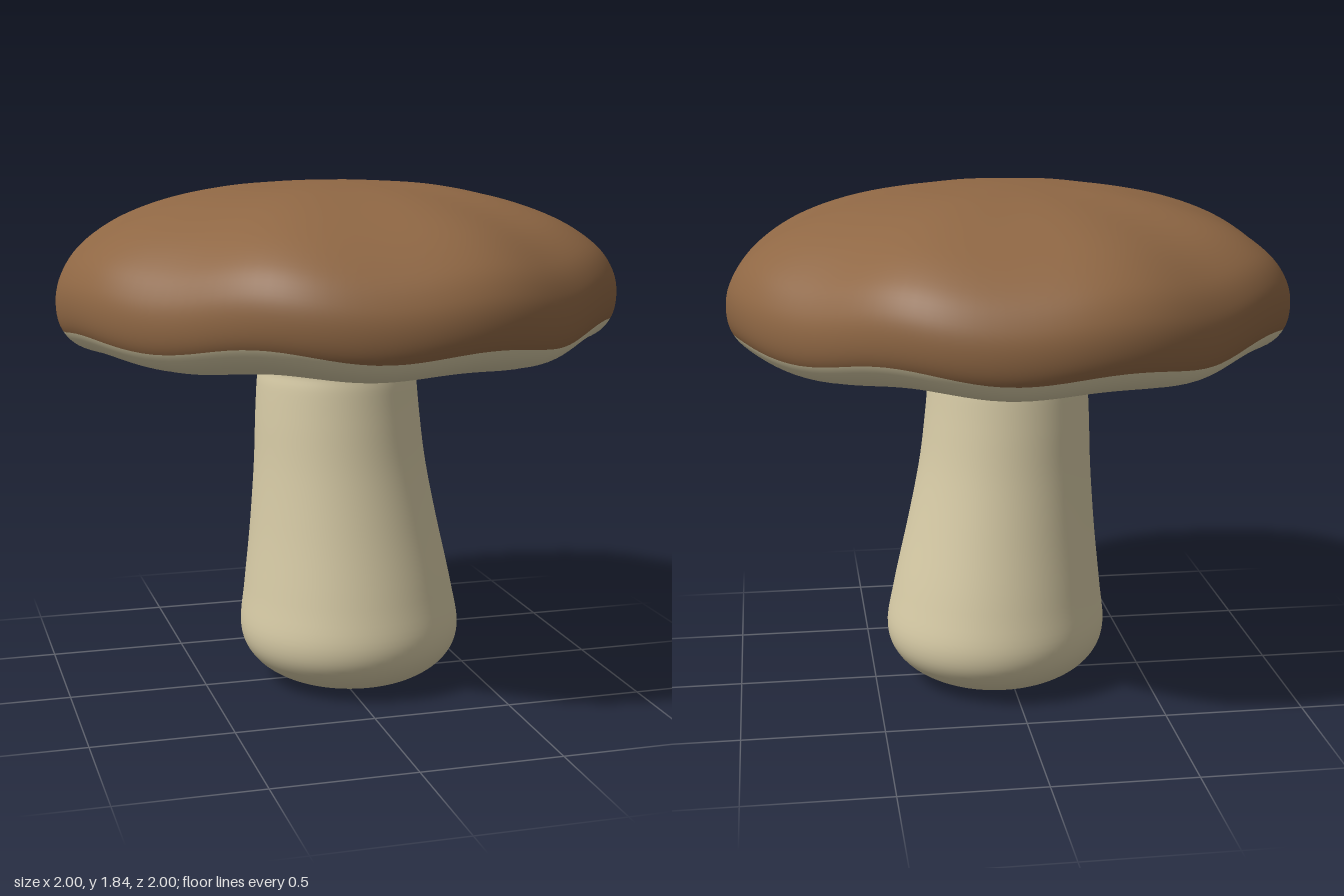
import * as THREE from 'three';

const brown = new THREE.MeshStandardMaterial({ color: 0x8f6744 });
brown.name = 'capBrown';
const cream = new THREE.MeshStandardMaterial({ color: 0xd7cba6 });
cream.name = 'fleshCream';

const SEG = 128, STEPS = 6;

// Sweeps a smoothed [radius, height] profile around y; place(r, y, angle) shapes each point.
// Faces from control point `split` onwards use the second material.
function sweep(profile, split, place) {
  const curve = new THREE.SplineCurve(profile.map(([r, y]) => new THREE.Vector2(r, y)));
  const pts = curve.getPoints((profile.length - 1) * STEPS);
  const pos = [], idx = [];
  for (const p of pts) {
    for (let i = 0; i < SEG; i++) {
      pos.push(...place(Math.max(p.x, 0.002), p.y, (i / SEG) * Math.PI * 2));
    }
  }
  for (let j = 0; j < pts.length - 1; j++) {
    for (let i = 0; i < SEG; i++) {
      const a = j * SEG + i, b = j * SEG + ((i + 1) % SEG);
      idx.push(a, a + SEG, b, b, a + SEG, b + SEG);
    }
  }
  const geo = new THREE.BufferGeometry();
  geo.setAttribute('position', new THREE.Float32BufferAttribute(pos, 3));
  geo.setIndex(idx);
  const cut = split * STEPS * SEG * 6;
  geo.addGroup(0, cut, 0);
  geo.addGroup(cut, idx.length - cut, 1);
  geo.computeVertexNormals();
  return geo;
}

// Gently lobed outline, wavy rim and faint rings under the cap
function placeCap(r, y, a) {
  const edge = THREE.MathUtils.smoothstep(r, 0.2, 1);
  const lobe = 1 + edge * (-0.011 + 0.02 * Math.cos(4 * a) - 0.009 * Math.cos(8 * a));
  const t = a - Math.PI / 6;
  const wave = r ** 3 * (0.018 * Math.cos(8 * t) + 0.008 * Math.cos(4 * t));
  const rings = y < 1.27 && r > 0.35 ? 0.0015 * Math.sin(r * 60) : 0;
  return [r * lobe * Math.cos(a), y + wave + rings, r * lobe * Math.sin(a)];
}

// Stem leans slightly to +x at its foot
function placeStem(r, y, a) {
  const lean = 1 - THREE.MathUtils.smoothstep(y, 0.1, 1.15);
  return [r * Math.cos(a) + 0.048 * lean, y, r * Math.sin(a) + 0.005 * lean];
}

export function createModel() {
  const group = new THREE.Group();
  group.name = 'mushroom';

  // Cap: cream underside up to the rim, brown above
  const capProfile = [
    [0.2, 1.225], [0.33, 1.228], [0.47, 1.233], [0.62, 1.237], [0.78, 1.25], [0.915, 1.285], [0.98, 1.345],
    [1, 1.43], [0.983, 1.52], [0.92, 1.61], [0.79, 1.7], [0.61, 1.77], [0.4, 1.815], [0.2, 1.833], [0, 1.84],
  ];
  const cap = new THREE.Mesh(sweep(capProfile, 6, placeCap), [cream, brown]);
  cap.name = 'cap';

  // Stem: rounded foot, tapering neck, flare into the underside
  const stemProfile = [
    [0, 0], [0.15, 0.002], [0.27, 0.03], [0.365, 0.1], [0.404, 0.2], [0.384, 0.36],
    [0.345, 0.6], [0.315, 0.82], [0.3, 1.0], [0.291, 1.12], [0.285, 1.18], [0.31, 1.212], [0.37, 1.235],
  ];
  const stem = new THREE.Mesh(sweep(stemProfile, 0, placeStem), [cream, cream]);
  stem.name = 'stem';

  group.add(cap, stem);
  return group;
}
